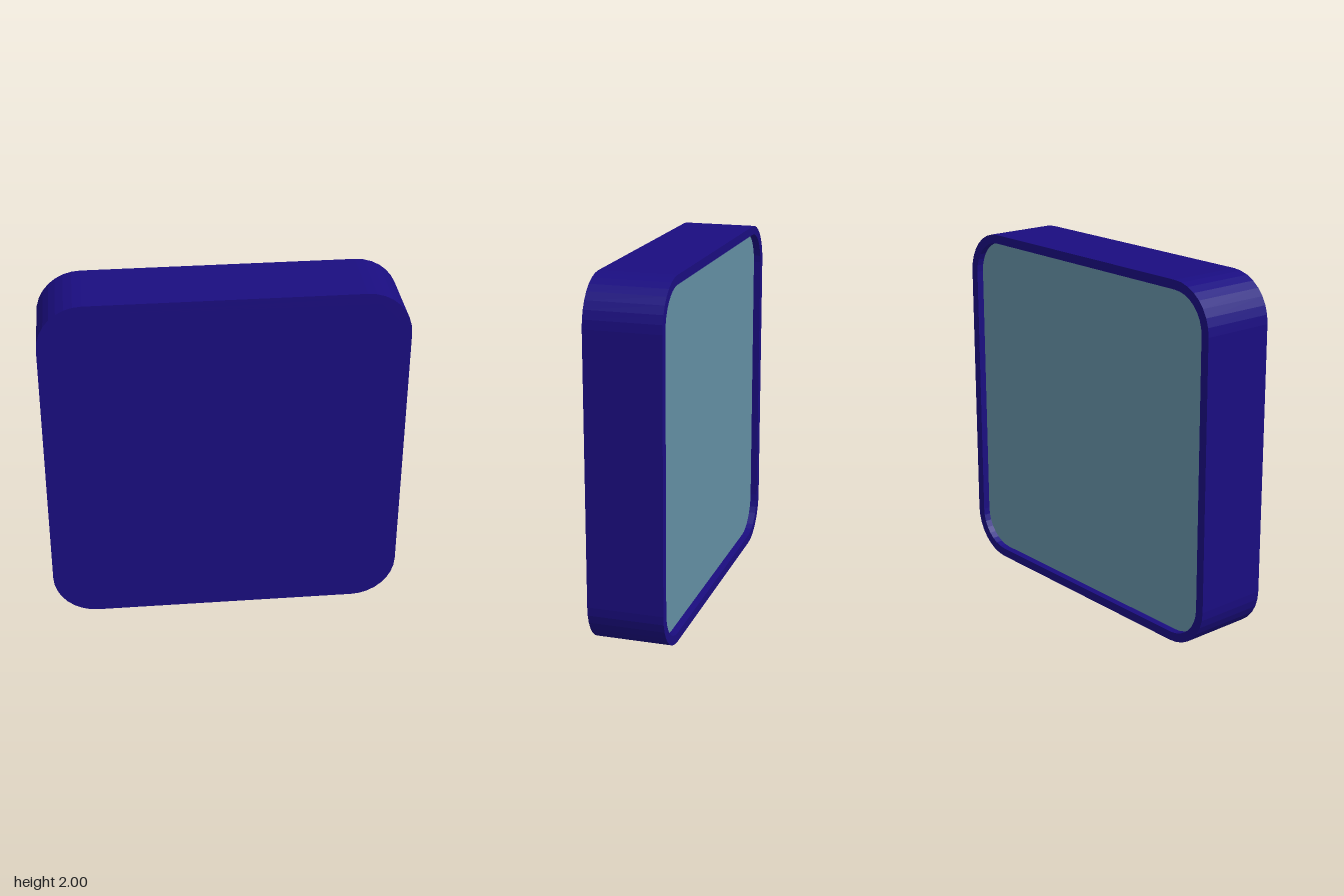
import * as THREE from 'three';

const SIZE = 2, RADIUS = 0.25, HALF_DEPTH = 0.21, RIM = 0.05, RECESS = 0.04;
const ARC = 4; // gives 8 facets per rounded corner

// Rounded square centred on y = 1, shrunk by an inset on all sides
function roundedSquare(inset, Type = THREE.Shape) {
  const h = SIZE / 2 - inset, r = RADIUS - inset, c = h - r;
  const s = new Type();
  [[c, c], [-c, c], [-c, -c], [c, -c]].forEach(([x, y], i) =>
    s.absarc(x, y + 1, r, i * Math.PI / 2, (i + 1) * Math.PI / 2, false));
  s.closePath();
  return s;
}

function slab(name, shape, z0, z1, material) {
  const geo = new THREE.ExtrudeGeometry(shape, { depth: z1 - z0, bevelEnabled: false, curveSegments: ARC });
  geo.translate(0, 0, z0);
  const mesh = new THREE.Mesh(geo, material);
  mesh.name = name;
  return mesh;
}

export function createModel() {
  const group = new THREE.Group();
  group.name = 'roundedSquareCase';
  const blue = new THREE.MeshStandardMaterial({ color: 0x1a0d80, flatShading: true });
  const greyBlue = new THREE.MeshStandardMaterial({ color: 0x6490a5, flatShading: true });

  // Surrounding wall, its back edge standing proud as a rim
  const wall = roundedSquare(0);
  wall.holes.push(roundedSquare(RIM, THREE.Path));
  group.add(slab('wall', wall, -HALF_DEPTH, HALF_DEPTH, blue));

  // Front plate, flush with the wall
  group.add(slab('frontPlate', roundedSquare(RIM), HALF_DEPTH - 0.05, HALF_DEPTH, blue));

  // Back panel, set in slightly from the rim
  const panelZ = -HALF_DEPTH + RECESS;
  group.add(slab('backPanel', roundedSquare(RIM), panelZ, panelZ + 0.03, greyBlue));

  return group;
}
